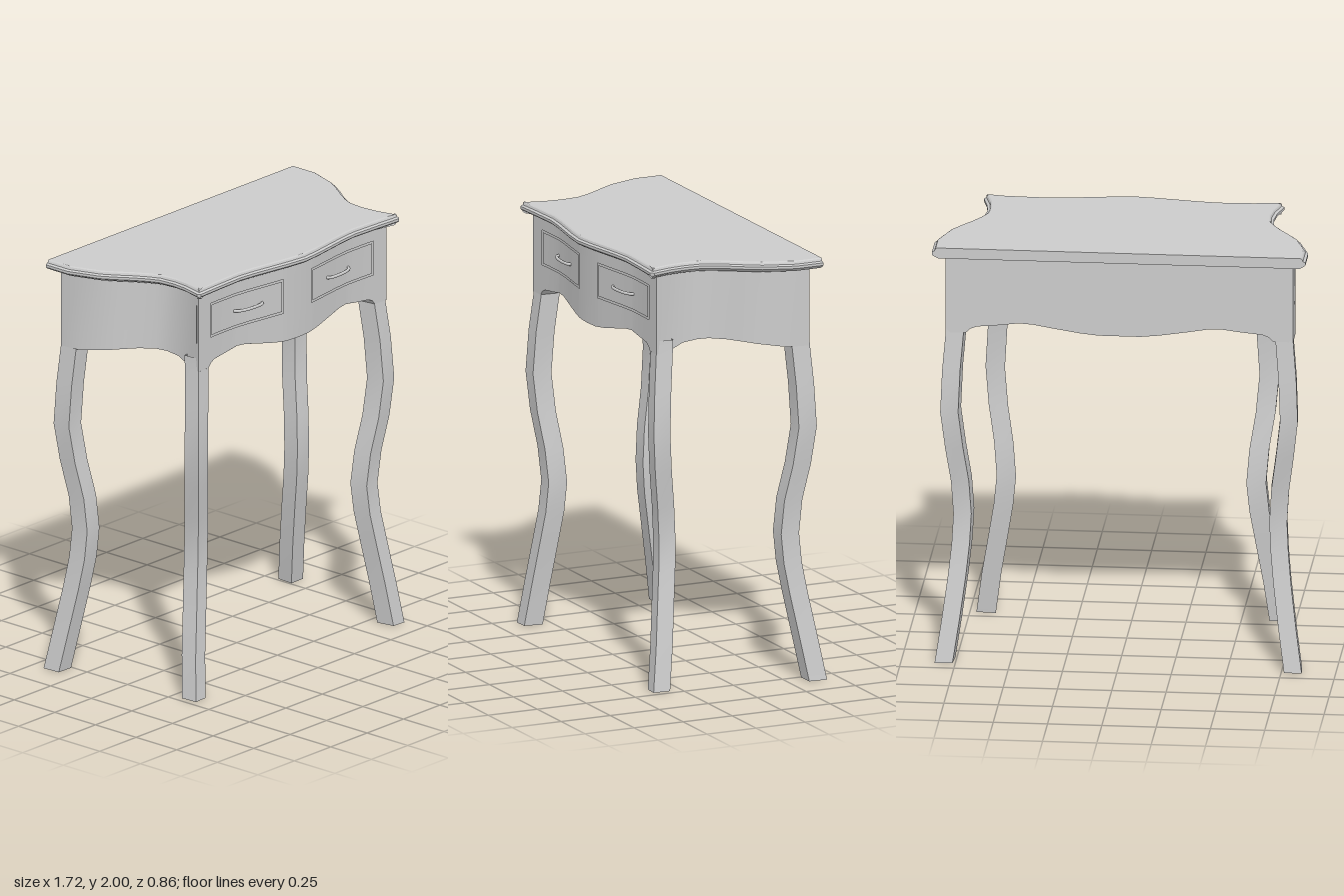
import * as THREE from 'three';
import { toCreasedNormals } from 'three/addons/utils/BufferGeometryUtils.js';

const material = new THREE.MeshStandardMaterial({ color: 0xcccccc, side: THREE.DoubleSide });

// Piecewise linear lookup in [[key, value], ...]
function lookup(table, k) {
  for (let i = 1; i < table.length; i++) {
    const [a, va] = table[i - 1], [b, vb] = table[i];
    if (k <= b) return va + (vb - va) * Math.max(0, (k - a) / (b - a));
  }
  return table[table.length - 1][1];
}

// Surface through rows of [x, y, z] points; keep(i, j) may leave out cells
function surface(rows, keep = () => true, crease = 0.6) {
  const n = rows[0].length, index = [];
  for (let i = 0; i < rows.length - 1; i++) {
    for (let j = 0; j < n - 1; j++) {
      if (!keep(i, j)) continue;
      const a = i * n + j, b = a + n;
      index.push(a, b, a + 1, a + 1, b, b + 1);
    }
  }
  const g = new THREE.BufferGeometry();
  g.setAttribute('position', new THREE.Float32BufferAttribute(rows.flat(2), 3));
  g.setIndex(index);
  return toCreasedNormals(g, crease);
}

function add(parent, name, geometry) {
  const mesh = new THREE.Mesh(geometry, material);
  mesh.name = name;
  parent.add(mesh);
  return mesh;
}

// Apron plan: serpentine side [x, z] from back to front, and bowed front z by x
const SIDE = [[0.8, -0.365], [0.8, -0.25], [0.757, -0.12], [0.715, -0.055], [0.675, 0],
  [0.635, 0.07], [0.615, 0.12], [0.612, 0.19], [0.62, 0.26], [0.645, 0.342]];
const FRONT = [[0, 0.38], [0.1, 0.373], [0.2, 0.359], [0.3, 0.344], [0.39, 0.335], [0.5, 0.336], [0.645, 0.342]];
const BACK_Z = -0.365, FRONT_X = 0.645, BACK_X = 0.8, APRON_TOP = 1.955, BASE = 1.58;

// Scalloped lower edge: across the width (share of half width) and along the depth
const SCALLOP = [[0, 1.585], [0.12, 1.585], [0.23, 1.594], [0.39, 1.614], [0.5, 1.629], [0.58, 1.633],
  [0.7, 1.621], [0.82, 1.612], [0.86, 1.6], [0.885, 1.58], [1, 1.58]];
const SIDE_SCALLOP = [[-0.365, 1.58], [-0.27, 1.582], [-0.15, 1.6], [-0.02, 1.62], [0.08, 1.626],
  [0.23, 1.608], [0.255, 1.585], [0.342, 1.58]];
const frontZ = x => lookup(FRONT, Math.abs(x));
const scallop = t => lookup(SCALLOP, Math.abs(t));
const sideEdge = z => lookup(SIDE_SCALLOP, z);

function tabletop(group) {
  const half = [[0.86, -0.405], [0.86, -0.27], [0.81, -0.12], [0.77, -0.055], [0.725, 0.01],
    [0.69, 0.07], [0.667, 0.12], [0.66, 0.2], [0.668, 0.28], [0.692, 0.375], [0.68, 0.39],
    [0.55, 0.383], [0.39, 0.377], [0.3, 0.387], [0.2, 0.403], [0.1, 0.419]];
  const plan = [...half, [0, 0.43], ...half.map(([x, z]) => [-x, z]).reverse()];
  const last = plan.length - 1;
  // Move the outline inwards, leaving the back edge straight
  const inset = d => plan.map(([x, z], i) => {
    if (i === 0 || i === last) return [x - Math.sign(x) * d, z];
    const [ax, az] = plan[i - 1], [bx, bz] = plan[i + 1];
    const l = Math.hypot(bx - ax, bz - az);
    return [x - (bz - az) / l * d, z + (bx - ax) / l * d];
  });
  const profile = [[1.95, 0.028], [1.962, 0.006], [1.968, 0], [1.98, 0], [1.986, 0.012], [1.996, 0.016], [2, 0.022]];
  const rows = profile.map(([y, d]) => {
    const ring = inset(d).map(([x, z]) => [x, y, z]);
    return [...ring, ring[0]];
  });
  add(group, 'tabletopEdge', surface(rows));
  for (const [name, y, d, turn] of [['tabletopSurface', 2, 0.022, -1], ['tabletopUnderside', 1.95, 0.028, 1]]) {
    const shape = new THREE.Shape(inset(d).map(([x, z]) => new THREE.Vector2(x, turn * z)));
    add(group, name, new THREE.ShapeGeometry(shape).rotateX(turn * Math.PI / 2).translate(0, y, 0));
  }
}

function apron(group) {
  // Curved sides
  for (const s of [1, -1]) {
    const pts = s > 0 ? SIDE : [...SIDE].reverse();
    add(group, s > 0 ? 'leftApron' : 'rightApron', surface([
      pts.map(([x, z]) => [s * x, sideEdge(z), z]),
      pts.map(([x, z]) => [s * x, APRON_TOP, z])]));
  }
  // Straight back with a scalloped edge
  const ts = SCALLOP.map(p => p[0]);
  const across = [...ts.slice(1).map(t => -t).reverse(), ...ts];
  add(group, 'backApron', surface([
    across.map(t => [t * BACK_X, scallop(t), BACK_Z]),
    across.map(t => [t * BACK_X, APRON_TOP, BACK_Z])]));

  // Bowed front, with narrow gaps round two drawers
  const gap = 0.009, x0 = 0.095, x1 = 0.56, y0 = 1.725, y1 = 1.89;
  const halfX = [...ts.map(t => t * FRONT_X), ...FRONT.map(p => p[0]), x0, x0 + gap, x1 - gap, x1];
  const xs = [...new Set([...halfX, ...halfX.map(x => -x)].map(x => +x.toFixed(4) + 0))].sort((a, b) => b - a);
  const ys = [y0, y0 + gap, y1 - gap, y1, APRON_TOP];
  const rows = [xs.map(x => [x, scallop(x / FRONT_X), frontZ(x)]),
    ...ys.map(y => xs.map(x => [x, y, frontZ(x)]))];
  const inGap = (i, j) => {
    const x = Math.abs(xs[j] + xs[j + 1]) / 2;
    if (i < 1 || i > 3 || x < x0 || x > x1) return false;
    return i !== 2 || x < x0 + gap || x > x1 - gap;
  };
  add(group, 'frontApronAndDrawers', surface(rows, (i, j) => !inGap(i, j)));
  add(group, 'drawerGapBacking', surface([y0 - 0.01, y1 + 0.01].map(y => xs.map(x => [x, y, frontZ(x) - 0.012]))));

  // Closed underside following the scalloped edges
  const under = SIDE.map(([hx, z]) => across.map(t => {
    const bow = (z - BACK_Z) / (FRONT[6][1] - BACK_Z);
    return [t * hx, scallop(t) + (sideEdge(z) - BASE) * Math.abs(t) ** 0.5,
      z + bow * (frontZ(t * FRONT_X) - FRONT[6][1])];
  }));
  add(group, 'apronUnderside', surface(under.reverse(), undefined, 1));
}

// Bowed drawer pulls
function handles(group) {
  for (const s of [1, -1]) {
    const pts = [[0.222, -0.003], [0.232, 0.01], [0.265, 0.02], [0.31, 0.025], [0.35, 0.023], [0.382, 0.012], [0.392, -0.003]]
      .map(([x, d]) => new THREE.Vector3(s * x, 1.807, frontZ(x) + d));
    add(group, s > 0 ? 'leftDrawerHandle' : 'rightDrawerHandle',
      new THREE.TubeGeometry(new THREE.CatmullRomCurve3(pts), 20, 0.0075, 8));
  }
}

// S-curved square legs, open at the foot: [y, outer x, outer z] of the outer corner
function legs(group) {
  const kinds = {
    FrontLeg: {
      path: [[0, 0.72, 0.39], [0.2, 0.693, 0.364], [0.4, 0.659, 0.34], [0.55, 0.634, 0.322], [0.69, 0.62, 0.314],
        [0.85, 0.633, 0.327], [1.02, 0.66, 0.352], [1.2, 0.676, 0.367], [1.4, 0.664, 0.357], [1.58, 0.645, 0.34], [1.64, 0.642, 0.336]],
      corners: [[-0.004, 0], [-0.074, -0.004], [-0.09, -0.09], [0, -0.082]], z: 1,
    },
    BackLeg: {
      path: [[0, 0.845, 0.432], [0.2, 0.816, 0.398], [0.4, 0.79, 0.362], [0.55, 0.775, 0.337], [0.69, 0.768, 0.326],
        [0.85, 0.778, 0.338], [1.02, 0.802, 0.37], [1.2, 0.823, 0.39], [1.4, 0.815, 0.38], [1.58, 0.8, 0.366], [1.64, 0.797, 0.363]],
      corners: [[0, 0], [-0.082, -0.004], [-0.088, -0.09], [-0.006, -0.088]], z: -1,
    },
  };
  for (const [name, { path, corners, z }] of Object.entries(kinds)) {
    for (const s of [1, -1]) {
      const ring = s * z > 0 ? corners : [...corners].reverse();
      const rows = path.map(([y, ox, oz]) =>
        [...ring, ring[0]].map(([dx, dz]) => [s * (ox + dx), y, z * (oz + dz)]));
      add(group, (s > 0 ? 'left' : 'right') + name, surface(rows));
    }
  }
}

export function createModel() {
  const group = new THREE.Group();
  group.name = 'consoleTable';
  tabletop(group);
  apron(group);
  handles(group);
  legs(group);
  return group;
}
